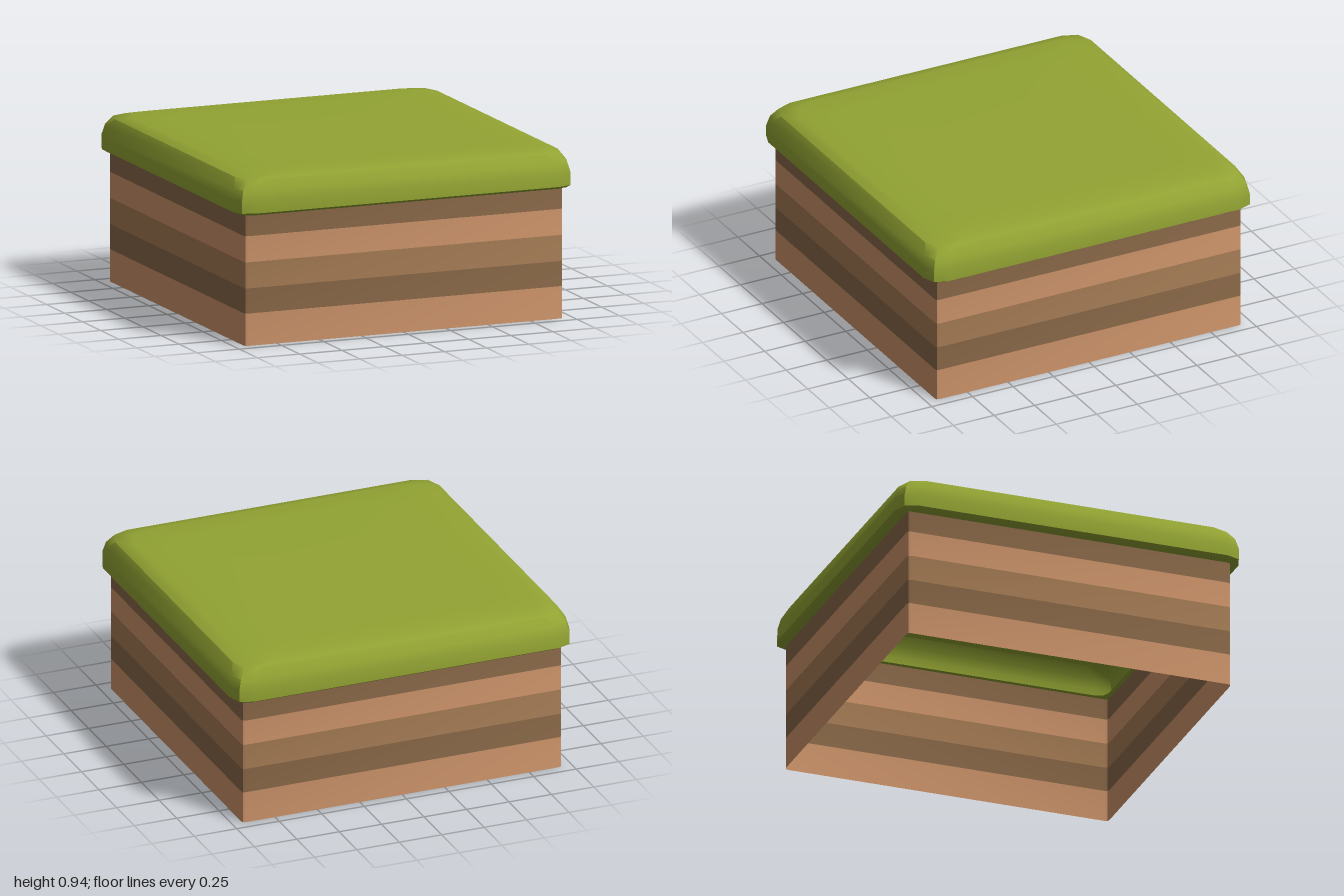
import * as THREE from 'three';
import { toCreasedNormals } from 'three/addons/utils/BufferGeometryUtils.js';

// Square outline of half-size s with softened corners of size c, counter-clockwise from above
function outline(s, c) {
  const points = [];
  const corner = [[s, s - c], [s - c * 0.27, s - c * 0.27], [s - c, s]];
  for (let k = 0; k < 4; k++) {
    const cos = [1, 0, -1, 0][k], sin = [0, 1, 0, -1][k];
    for (const [a, b] of corner) points.push([a * cos - b * sin, -(a * sin + b * cos)]);
  }
  return points;
}

// Skin a stack of rings [halfSize, y, corner]; optionally close the top
function loft(rings, closed) {
  const positions = [], index = [], n = 12;
  for (const [s, y, c] of rings) {
    for (const [x, z] of outline(s, c)) positions.push(x, y, z);
  }
  for (let r = 0; r < rings.length - 1; r++) {
    for (let i = 0; i < n; i++) {
      const a = r * n + i, b = r * n + (i + 1) % n;
      index.push(a, b, b + n, a, b + n, a + n);
    }
  }
  if (closed) {
    const start = (rings.length - 1) * n, centre = rings.length * n;
    positions.push(0, rings[rings.length - 1][1], 0);
    for (let i = 0; i < n; i++) index.push(start + i, start + (i + 1) % n, centre);
  }
  const geometry = new THREE.BufferGeometry();
  geometry.setAttribute('position', new THREE.Float32BufferAttribute(positions, 3));
  geometry.setIndex(index);
  return toCreasedNormals(geometry, 0.75);
}

function part(name, geometry, color) {
  const material = new THREE.MeshStandardMaterial({ color, side: THREE.DoubleSide });
  const mesh = new THREE.Mesh(geometry, material);
  mesh.name = name;
  return mesh;
}

export function createModel() {
  const model = new THREE.Group();
  model.name = 'grassBlock';

  // Earth wall, open below, in coloured layers
  const peach = 0xd0966c, dark = 0x8c6a49, tan = 0xa87e56;
  const levels = [0, 0.18, 0.32, 0.465, 0.61, 0.735];
  const earth = new THREE.Group();
  earth.name = 'earthWall';
  [peach, dark, tan, peach, dark].forEach((color, i) => {
    const rings = [[0.942, levels[i], 0.02], [0.942, levels[i + 1], 0.02]];
    earth.add(part('earthLayer' + (i + 1), loft(rings, false), color));
  });
  model.add(earth);

  // Hollow grass cap with an underside lip and rounded upper edge
  const profile = [
    [0.915, 0.73, 0.06], [0.975, 0.73, 0.08], [1, 0.745, 0.1], [1, 0.81, 0.1],
    [0.985, 0.87, 0.1], [0.955, 0.922, 0.12], [0.885, 0.94, 0.14], [0.7, 0.942, 0.14],
  ];
  model.add(part('grassCap', loft(profile, true), 0x93a433));

  return model;
}
